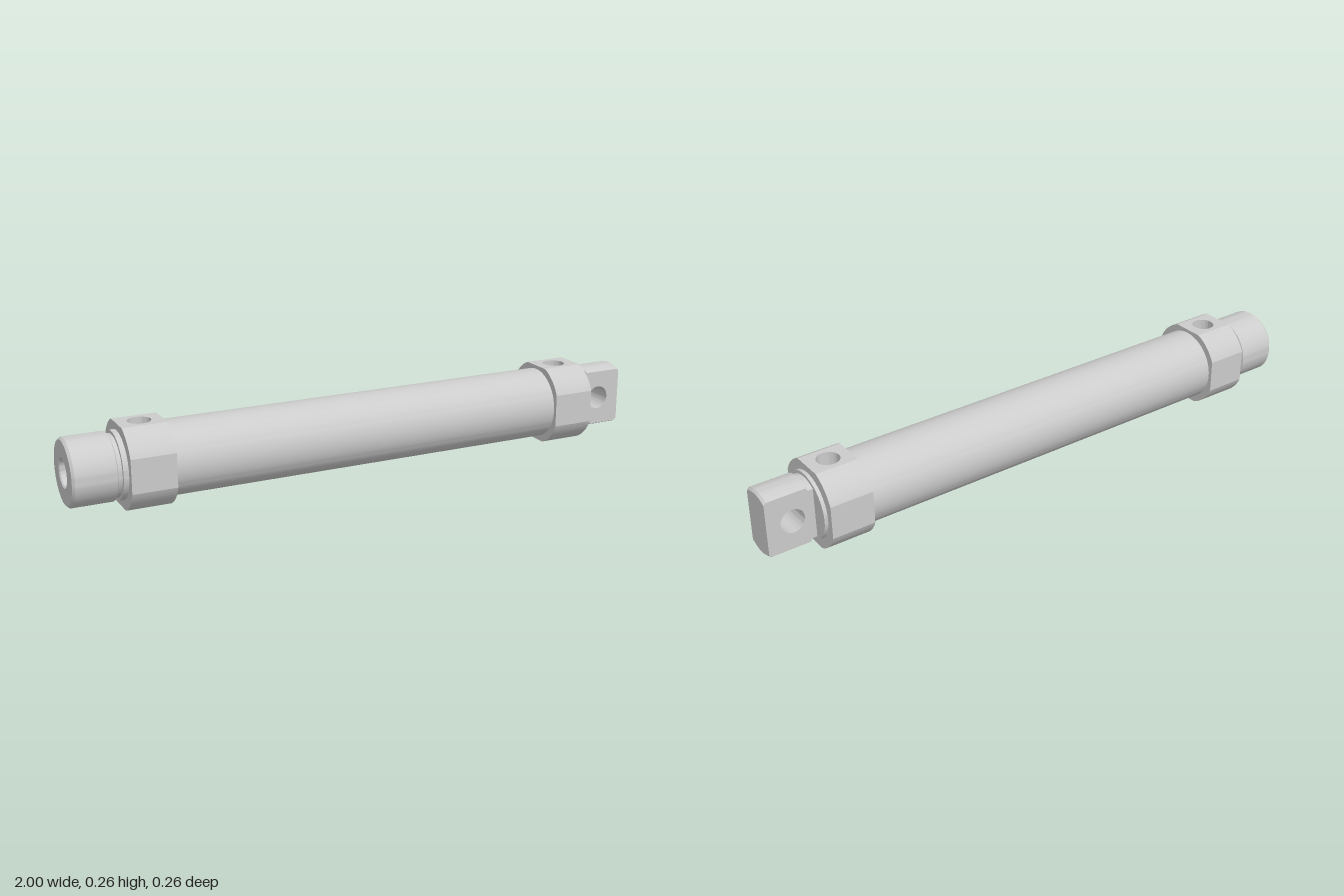
import * as THREE from 'three';
import { toCreasedNormals } from 'three/addons/utils/BufferGeometryUtils.js';

const AXIS = 0.132;          // height of the centre line
const HEAD = 0.132;          // half width of a head across its flats
const FLAT = 0.055;          // half width of each flat
const HEAD_IN = 0.684, HEAD_OUT = 0.828;
const material = new THREE.MeshStandardMaterial({ color: 0xcccccc });

function part(name, geometry) {
  const mesh = new THREE.Mesh(toCreasedNormals(geometry, 0.4), material);
  mesh.name = name;
  return mesh;
}

// Turned part along x from [x, radius] pairs
function turned(name, profile) {
  const points = profile.map(([x, r]) => new THREE.Vector2(r, x));
  return part(name, new THREE.LatheGeometry(points, 72).rotateZ(-Math.PI / 2));
}

// Round head with four flats and a blind port in its top
function head(name, side) {
  const group = new THREE.Group();
  group.name = name;
  const length = HEAD_OUT - HEAD_IN, depth = 0.06;
  const radius = Math.hypot(HEAD, FLAT), a = Math.atan2(FLAT, HEAD);

  // Body, notched at the top to receive the port block
  const outline = new THREE.Shape();
  outline.moveTo(-FLAT, HEAD);
  for (let q = 1; q <= 4; q++) {
    const start = q * Math.PI / 2 + a;
    outline.absarc(0, 0, radius, start, start + Math.PI / 2 - 2 * a, false);
  }
  outline.lineTo(FLAT, HEAD - depth);
  outline.lineTo(-FLAT, HEAD - depth);
  const body = new THREE.ExtrudeGeometry(outline, { depth: length, bevelEnabled: false, curveSegments: 12 });
  body.translate(0, 0, -length / 2).rotateY(Math.PI / 2);
  group.add(part('headBody', body));

  const top = new THREE.Shape();
  top.moveTo(-length / 2, -FLAT);
  top.lineTo(length / 2, -FLAT);
  top.lineTo(length / 2, FLAT);
  top.lineTo(-length / 2, FLAT);
  top.closePath();
  top.holes.push(new THREE.Path().absarc(0, 0, 0.037, 0, Math.PI * 2, true));
  const block = new THREE.ExtrudeGeometry(top, { depth, bevelEnabled: false, curveSegments: 24 });
  block.rotateX(-Math.PI / 2).translate(0, HEAD - depth, 0);
  group.add(part('portBlock', block));

  group.position.x = side * (HEAD_IN + HEAD_OUT) / 2;
  return group;
}

// Flat-sided mounting eye cut from a round bar
function mountingEye() {
  const half = 0.053, holeX = 0.914, holeR = 0.04;
  const edge = [[0.838, 0.1], [0.858, 0.1], [0.862, 0.109], [0.992, 0.109], [1, 0.102]];
  const outline = new THREE.Shape([
    ...edge.map(([x, r]) => new THREE.Vector2(x, -r)),
    ...edge.slice().reverse().map(([x, r]) => new THREE.Vector2(x, r)),
  ]);
  outline.holes.push(new THREE.Path().absarc(holeX, 0, holeR, 0, Math.PI * 2, true));
  const geometry = new THREE.ExtrudeGeometry(outline, { depth: half * 2, steps: 14, bevelEnabled: false, curveSegments: 24 });
  geometry.translate(0, 0, -half);
  // Round the top and bottom about the centre line, leaving the hole alone
  const p = geometry.attributes.position;
  for (let i = 0; i < p.count; i++) {
    const y = p.getY(i), z = p.getZ(i);
    if (Math.hypot(p.getX(i) - holeX, y) > holeR + 0.005) {
      p.setY(i, Math.sign(y) * Math.sqrt(y * y - z * z));
    }
  }
  return part('mountingEye', geometry);
}

export function createModel() {
  const model = new THREE.Group();
  model.name = 'pneumaticCylinder';
  const assembly = new THREE.Group();
  assembly.name = 'assembly';
  assembly.position.y = AXIS;
  model.add(assembly);

  assembly.add(turned('barrel', [[-0.69, 0], [-0.69, 0.12], [0.69, 0.12], [0.69, 0]]));
  assembly.add(head('leftHead', 1), head('rightHead', -1));

  // Neck with bore, end chamfer and relief groove
  assembly.add(turned('neck', [
    [-0.83, 0], [-0.83, 0.044], [-0.996, 0.044], [-1, 0.048], [-1, 0.102], [-0.992, 0.109],
    [-0.862, 0.109], [-0.858, 0.1], [-0.845, 0.1], [-0.845, 0.11], [-0.82, 0.11],
  ]));

  // Collar and eye at the other end
  assembly.add(turned('collar', [[0.82, 0.11], [0.84, 0.11], [0.84, 0]]));
  assembly.add(mountingEye());
  return model;
}
